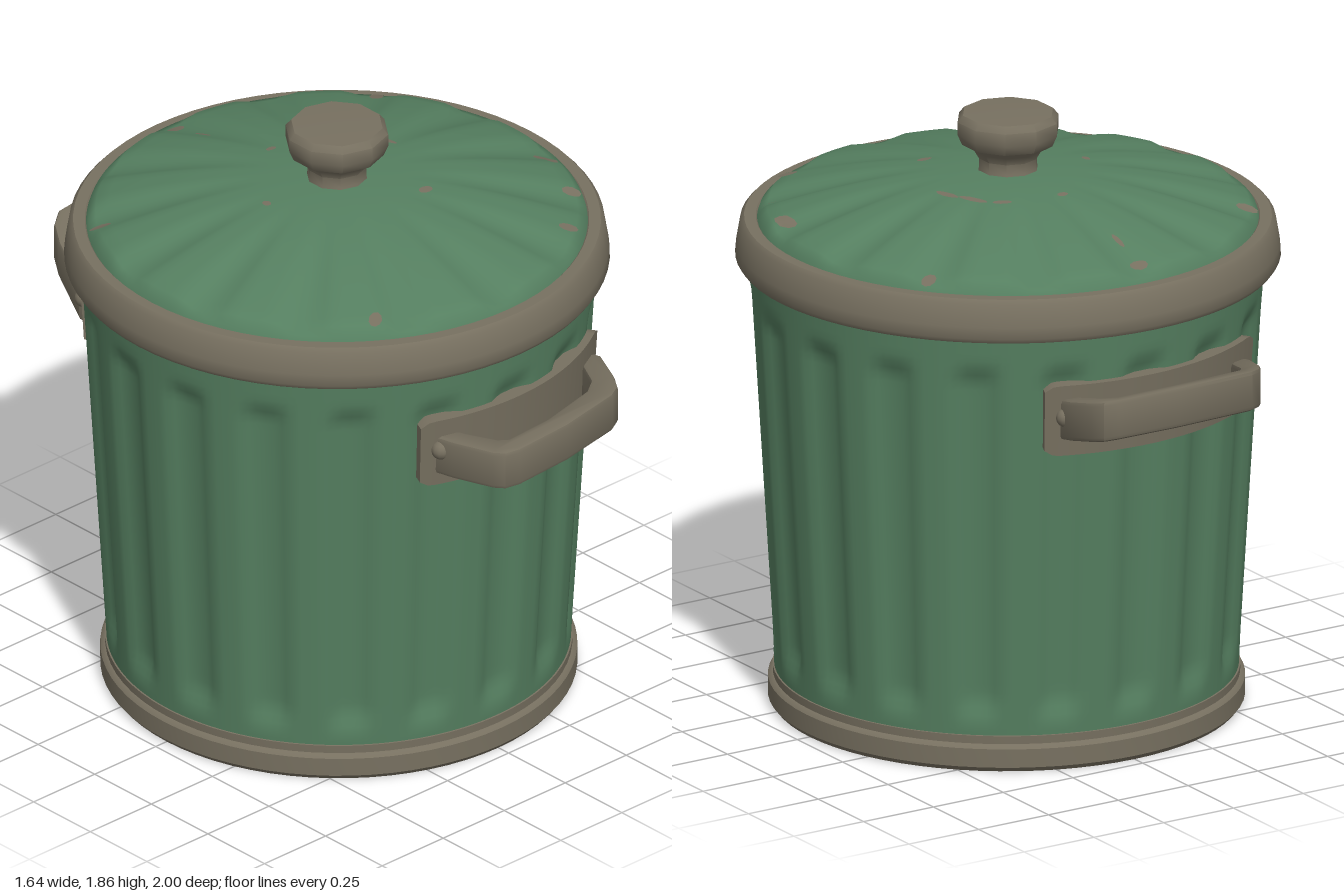
import * as THREE from 'three';
import { mergeVertices, toCreasedNormals } from 'three/addons/utils/BufferGeometryUtils.js';

const green = new THREE.MeshStandardMaterial({ color: 0x557f60 });
green.name = 'green paint';
const metal = new THREE.MeshStandardMaterial({ color: 0x777060 });
metal.name = 'bare metal';

const { smoothstep } = THREE.MathUtils;
const V2 = (p) => new THREE.Vector2(p[0], p[1]);

function part(name, geometry, material, parent) {
  const mesh = new THREE.Mesh(geometry, material);
  mesh.name = name;
  parent.add(mesh);
  return mesh;
}

// Move every vertex by a rule
function warp(geometry, rule) {
  const p = geometry.attributes.position;
  const v = new THREE.Vector3();
  for (let i = 0; i < p.count; i++) {
    v.fromBufferAttribute(p, i);
    rule(v);
    p.setXYZ(i, v.x, v.y, v.z);
  }
  geometry.computeVertexNormals();
  return geometry;
}

// Weld seams and smooth the normals
function smooth(geometry) {
  geometry.deleteAttribute('uv');
  geometry.deleteAttribute('normal');
  const welded = mergeVertices(geometry, 1e-5);
  welded.computeVertexNormals();
  return welded;
}

const lathe = (points, segments, crease = 0.6) =>
  toCreasedNormals(new THREE.LatheGeometry(points.map(V2), segments), crease);

// Body wall radius, before the flutes are pressed in
const wall = (y) => 0.697 + 0.06 * (y - 0.1);

function makeBody() {
  const g = new THREE.CylinderGeometry(1, 1, 1.35, 180, 54, true);
  g.translate(0, 0.775, 0);
  return smooth(warp(g, (v) => {
    const a = Math.atan2(v.x, v.z);
    const groove = smoothstep(Math.cos(a * 18), -0.5, 0.9);
    const fade = smoothstep(v.y, 0.14, 0.24) * (1 - smoothstep(v.y, 1.24, 1.32));
    const r = wall(v.y) - 0.024 * groove * fade;
    v.x = Math.sin(a) * r;
    v.z = Math.cos(a) * r;
  }));
}

// Dome height with pressed radial dents
function lidHeight(x, z) {
  const r = Math.hypot(x, z);
  const dent = smoothstep(Math.cos(Math.atan2(x, z) * 14), -0.2, 1);
  return 1.685 - 0.222 * r * r - 0.018 * dent * smoothstep(r, 0.2, 0.65);
}

function makeDome() {
  const points = [[0.76, 1.51], [0.748, 1.545]];
  for (let i = 18; i >= 0; i--) points.push([(0.725 * i) / 18, 2]);
  const g = new THREE.LatheGeometry(points.map(V2), 140);
  return smooth(warp(g, (v) => {
    if (v.y === 2) v.y = lidHeight(v.x, v.z);
  }));
}

// Worn spot lying on the dome
function lidSpot(x, z, rx, rz, turn) {
  const g = new THREE.CircleGeometry(1, 9);
  g.rotateX(-Math.PI / 2).scale(rx, 1, rz).rotateY(turn).translate(x, 0, z);
  return warp(g, (v) => { v.y = lidHeight(v.x, v.z) + 0.004; });
}

// Box bent round the body wall, centred on +z
function bentPlate(halfAngle, height, depth, lift, corner) {
  const g = new THREE.BoxGeometry(2, height, depth, 32, 1, 1);
  return warp(g, (v) => {
    const a = v.x * halfAngle;
    const edge = smoothstep(Math.abs(v.x), 0.92, 1);
    const y = 1.137 + v.y * (1 - corner * edge);
    const r = wall(y) + lift + v.z;
    v.set(Math.sin(a) * r, y, Math.cos(a) * r);
  });
}

// Grip cut in plan, then tilted upward away from the body
function makeGrip(outline, midY, slope) {
  const g = new THREE.ExtrudeGeometry(new THREE.Shape(outline.map(V2)), {
    depth: 0.1, bevelEnabled: true, bevelThickness: 0.014,
    bevelSize: 0.014, bevelOffset: -0.014, bevelSegments: 2,
  });
  g.translate(0, 0, -0.05).rotateX(Math.PI / 2);
  return toCreasedNormals(warp(g, (v) => {
    v.y += midY + slope * (Math.abs(v.z) - 0.75);
  }), 0.6);
}

function makeHandle(name, turn, outline, midY, slope, parent) {
  const handle = new THREE.Group();
  handle.name = name;
  parent.add(handle);
  part('handleGrip', makeGrip(outline, midY, slope), metal, handle);
  const mount = new THREE.Group();
  mount.name = 'handleMount';
  mount.rotation.y = turn;
  handle.add(mount);
  part('handlePlate', bentPlate(0.535, 0.225, 0.05, 0, 0.16), metal, mount);
  for (const side of [-1, 1]) {
    const bolt = part('handleBolt', new THREE.SphereGeometry(0.03, 12, 8), metal, mount);
    const a = side * 0.455;
    bolt.position.set(Math.sin(a) * 0.792, 1.15, Math.cos(a) * 0.792);
  }
  return mount;
}

export function createModel() {
  const bin = new THREE.Group();
  bin.name = 'lidded bin';

  // Body and base
  part('flutedBody', makeBody(), green, bin);
  part('baseBand', lathe([[0, 0.005], [0.705, 0.005], [0.717, 0.02], [0.717, 0.078],
    [0.708, 0.088], [0.702, 0.09], [0.703, 0.115], [0.69, 0.117]], 72), metal, bin);

  // Lid
  const lid = new THREE.Group();
  lid.name = 'lid';
  lid.position.z = -0.008;
  bin.add(lid);
  part('lidRim', lathe([[0.72, 1.4], [0.81, 1.4], [0.82, 1.415], [0.817, 1.45], [0.805, 1.52],
    [0.793, 1.533], [0.758, 1.533], [0.742, 1.515]], 72, 0.8), metal, lid);
  part('lidDome', makeDome(), green, lid);
  part('lidKnob', lathe([[0.1, 1.66], [0.09, 1.69], [0.09, 1.72], [0.105, 1.745], [0.143, 1.768],
    [0.157, 1.8], [0.157, 1.84], [0.14, 1.86], [0, 1.866]], 10, 0.75), metal, lid);

  // Worn paint on the lid: x, z, half sizes, turn
  const spots = [
    [-0.02, -0.69, 0.03, 0.022, 0], [-0.03, -0.56, 0.008, 0.035, 0],
    [0.57, -0.44, 0.03, 0.022, 0.6], [-0.59, -0.41, 0.034, 0.018, -0.6],
    [0.17, -0.23, 0.03, 0.012, -0.5], [0.23, -0.16, 0.012, 0.05, 0.5],
    [0.27, -0.08, 0.012, 0.045, 0.25], [0.15, 0.23, 0.025, 0.016, 0],
    [0.66, 0.21, 0.022, 0.045, 0.2], [0.59, 0.4, 0.03, 0.018, -0.6],
    [0.42, 0.57, 0.03, 0.02, -0.7], [-0.39, 0.59, 0.03, 0.02, 0.6],
    [-0.26, -0.03, 0.012, 0.016, 0], [-0.02, -0.27, 0.018, 0.012, 0],
  ];
  for (const s of spots) part('lidWear', lidSpot(...s), metal, lid);

  // Handles, slightly bent out of true
  makeHandle('frontHandle', 0.105, [
    [-0.28, 0.72], [-0.275, 0.8], [-0.25, 0.95], [-0.23, 0.985], [-0.18, 0.997], [0.03, 0.98],
    [0.26, 0.93], [0.31, 0.9], [0.36, 0.83], [0.435, 0.69], [0.42, 0.64], [0.37, 0.66],
    [0.29, 0.8], [0.23, 0.845], [0.02, 0.9], [-0.15, 0.912], [-0.172, 0.89], [-0.2, 0.78], [-0.205, 0.73],
  ], 1.13, 0.12, bin);
  const rear = makeHandle('backHandle', Math.PI + 0.105, [
    [0.28, -0.72], [0.295, -0.8], [0.3, -0.93], [0.285, -0.975], [0.24, -0.99], [0.03, -1],
    [-0.25, -0.97], [-0.305, -0.93], [-0.35, -0.86], [-0.425, -0.69], [-0.41, -0.64], [-0.36, -0.67],
    [-0.29, -0.84], [-0.25, -0.89], [0.03, -0.92], [0.2, -0.922], [0.22, -0.89], [0.225, -0.78], [0.21, -0.73],
  ].reverse(), 1.145, 0.26, bin);
  part('plateWear', bentPlate(0.13, 0.07, 0.006, 0.026, 0.6), green, rear);

  return bin;
}
